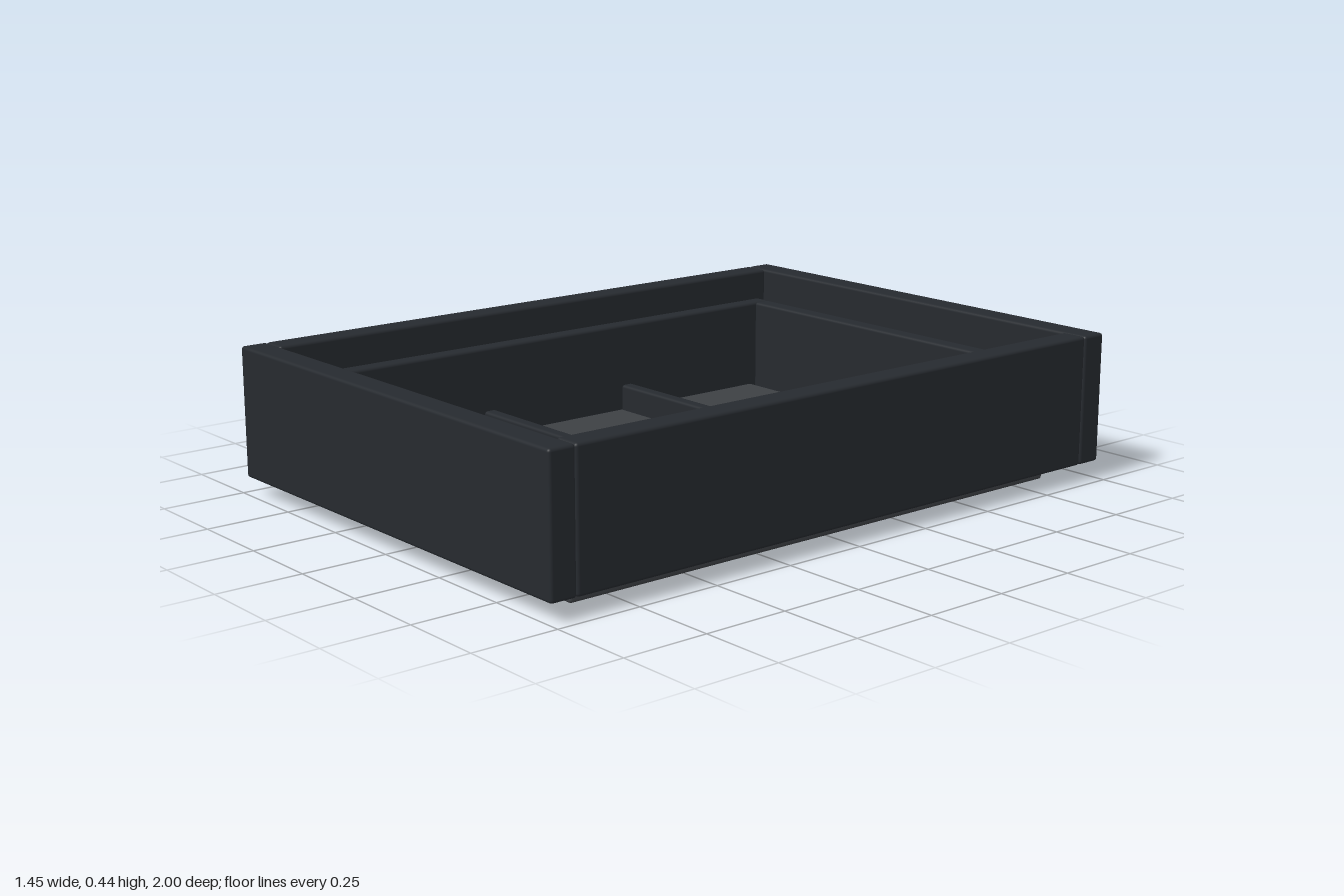
import * as THREE from 'three';
import { RoundedBoxGeometry } from 'three/addons/geometries/RoundedBoxGeometry.js';

const dark = new THREE.MeshStandardMaterial({ color: 0x262a2f });
const grey = new THREE.MeshStandardMaterial({ color: 0x3d4044 });

export function createModel() {
  const model = new THREE.Group();
  model.name = 'dividedDrawer';

  // Softly rounded board given by its extents on each axis
  function board(name, [x0, x1], [y0, y1], [z0, z1], material = dark) {
    const geometry = new RoundedBoxGeometry(x1 - x0, y1 - y0, z1 - z0, 3, 0.009);
    const mesh = new THREE.Mesh(geometry, material);
    mesh.position.set((x0 + x1) / 2, (y0 + y1) / 2, (z0 + z1) / 2);
    mesh.name = name;
    model.add(mesh);
  }
  // Extent from a to b, mirrored to the negative side when s is -1
  const span = (s, a, b) => (s > 0 ? [a, b] : [-b, -a]);

  // Base slab under the tray
  board('baseSlab', [-0.627, 0.627], [0, 0.038], [-0.87, 0.87], grey);

  for (const s of [-1, 1]) {
    const side = s > 0 ? 'left' : 'right';
    const end = s > 0 ? 'front' : 'back';

    // Outer frame
    board(end + 'FrameBoard', [-0.724, 0.724], [0.053, 0.436], span(s, 0.92, 1));
    board(side + 'FrameBoard', span(s, 0.645, 0.724), [0.053, 0.436], [-0.92, 0.92]);

    // Inner tray walls
    board(side + 'TrayWall', span(s, 0.573, 0.627), [0.038, 0.35], [-0.87, 0.87]);
    board(end + 'TrayWall', [-0.575, 0.575], [0.038, 0.35], span(s, 0.812, 0.868));

    // Raised compartment floor
    board(side + 'FloorPanel', span(s, 0.036, 0.575), [0.036, 0.08], [-0.794, 0.79], grey);

    // Short dividers on each side of the long one
    for (const z of [-0.265, 0.262]) {
      board(side + 'CrossDivider', span(s, 0.02, 0.569), [0.07, 0.16], [z - 0.02, z + 0.02]);
    }
  }

  // Long centre divider
  board('centreDivider', [-0.023, 0.023], [0.038, 0.19], [-0.794, 0.79]);

  return model;
}
